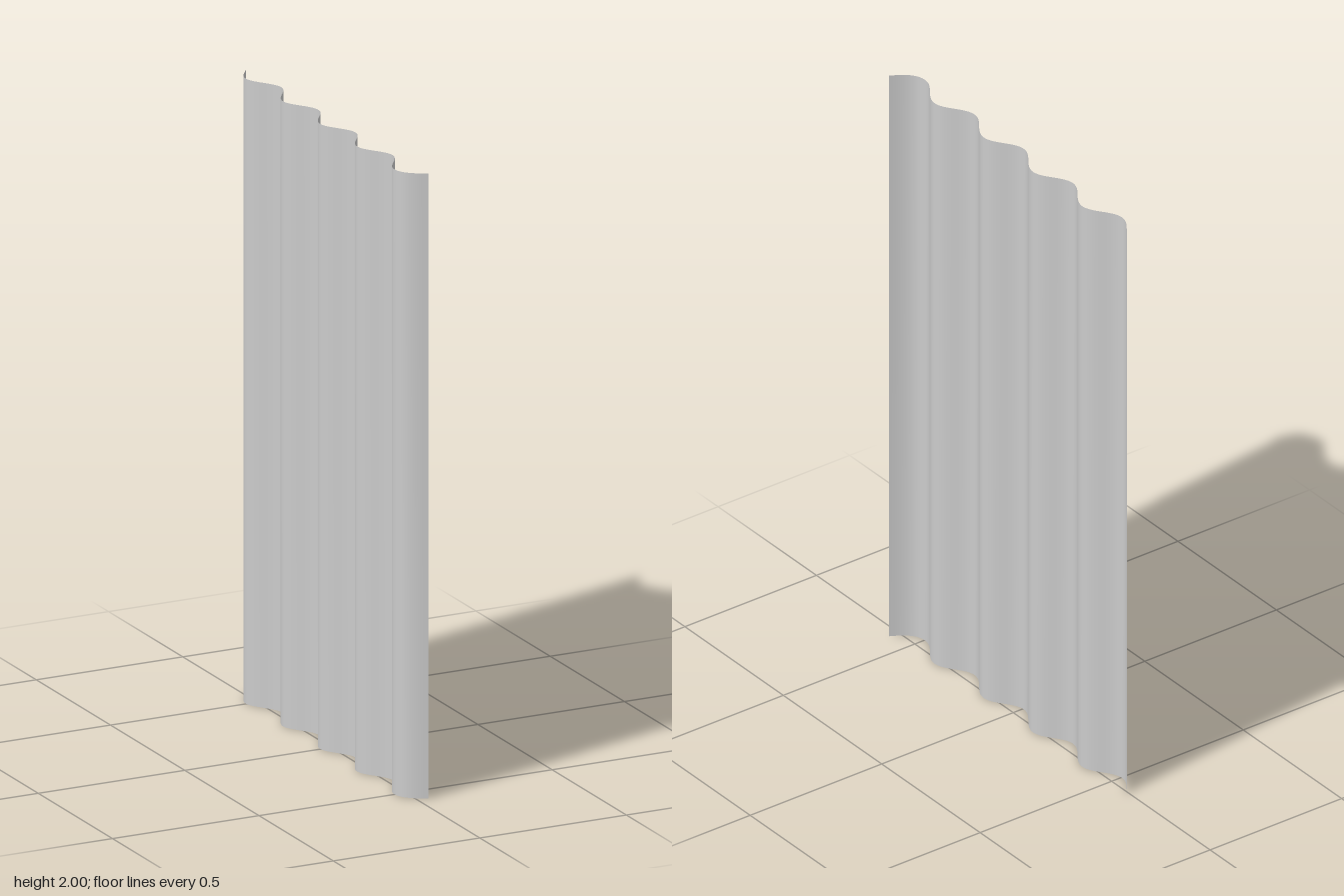
import * as THREE from 'three';

const HEIGHT = 2, WIDTH = 1.166;
const PITCH = 0.25, AMPLITUDE = 0.029, MIDDLE = -0.008;
const CREST = 0.3715;               // z of the crest nearest the front edge
const LIP = CREST + PITCH / 2;      // last trough, where the lip starts to rise
const EDGE_X = 0.036;               // x reached by the lip at the front edge

// Depth of the corrugated profile at a given z
function profile(z) {
  if (z > LIP) {
    const low = MIDDLE - AMPLITUDE;
    const t = (z - LIP) / (WIDTH / 2 - LIP);
    return low + (EDGE_X - low) * Math.pow(t, 2.4);
  }
  return MIDDLE + AMPLITUDE * Math.cos((z - CREST) / PITCH * Math.PI * 2);
}

export function createModel() {
  const group = new THREE.Group();
  group.name = 'corrugatedPanel';

  // Flat sheet standing in the yz plane, pushed into waves
  const geometry = new THREE.PlaneGeometry(WIDTH, HEIGHT, 140, 1);
  geometry.rotateY(Math.PI / 2);
  geometry.translate(0, HEIGHT / 2, 0);
  const pos = geometry.attributes.position;
  for (let i = 0; i < pos.count; i++) pos.setX(i, profile(pos.getZ(i)));
  geometry.computeVertexNormals();

  const sheet = new THREE.Mesh(
    geometry,
    new THREE.MeshStandardMaterial({ color: 0xcccccc, side: THREE.DoubleSide })
  );
  sheet.name = 'corrugatedSheet';
  group.add(sheet);
  return group;
}
